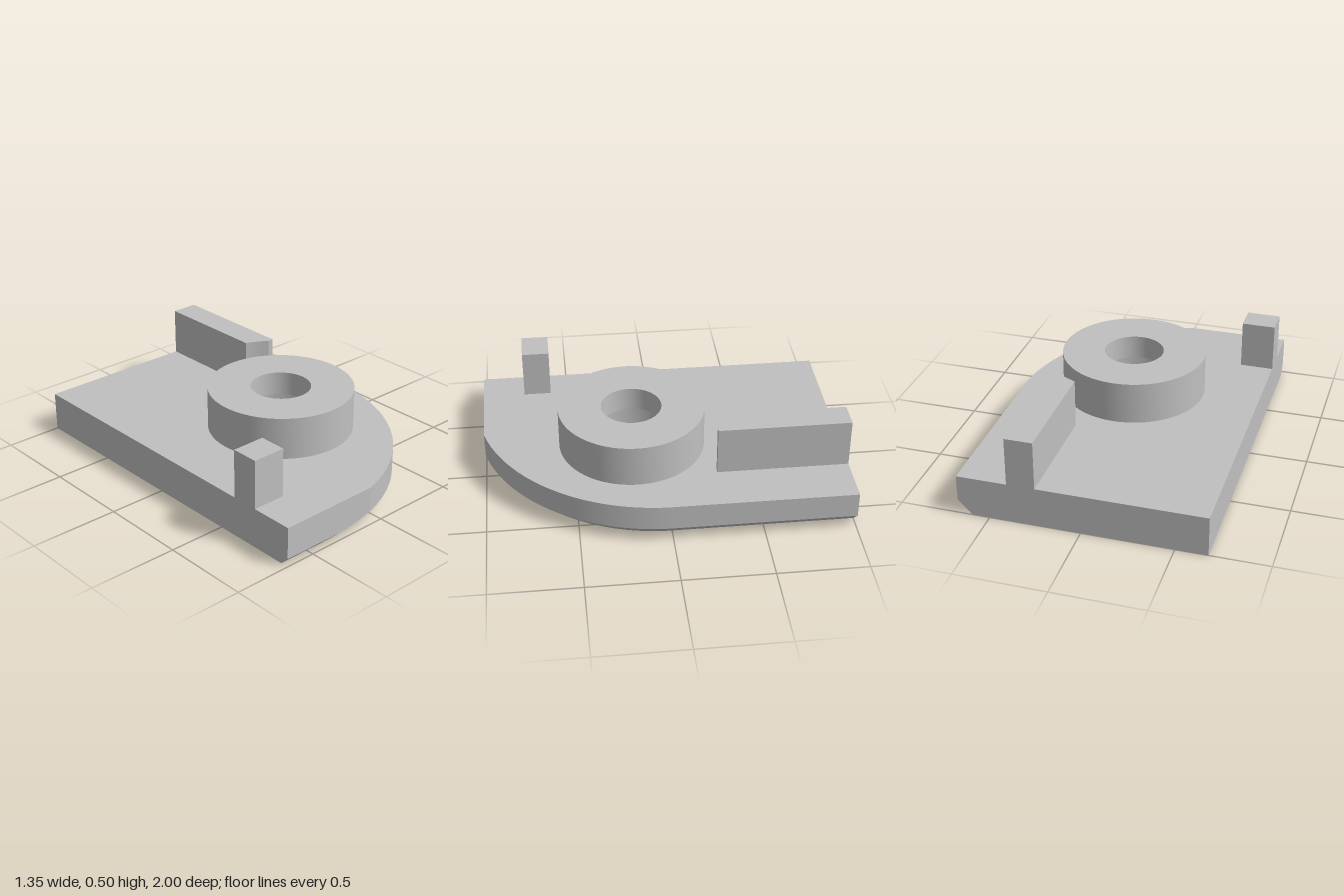
import * as THREE from 'three';
import { toCreasedNormals } from 'three/addons/utils/BufferGeometryUtils.js';

const SIDE = 0.675;                   // half width of the plate
const PLATE_TOP = 0.225, CHAMFER = 0.08;
const CORNER = { x: -0.36, r: 1.035 }; // big rounded corner, centred on z = 0
const BOSS = { x: 0.053, z: 0.169, r: 0.408, top: 0.465, hole: 0.168, bore: 0.3, boreTop: 0.33 };
const ARC = 64;

// Plate outline at height y: the side and rounded corner are chamfered, the front is cut at z = 1
function outline(y) {
  const inset = Math.max(0, CHAMFER - y);
  const r = CORNER.r - inset;
  const end = r > 1 ? Math.asin(1 / r) : Math.PI / 2;
  const ring = [[-SIDE, -1], [SIDE - inset, -1]];
  for (let i = 0; i <= ARC; i++) {
    const a = (end * i) / ARC;
    ring.push([CORNER.x + r * Math.cos(a), r * Math.sin(a)]);
  }
  ring.push([-SIDE, Math.min(1, r)]);
  return ring;
}

// Walls of the plate, lofted through outlines at several heights
function plateWalls() {
  const levels = [0];
  for (let i = 0; i <= 10; i++) levels.push(0.045 + (0.035 * i) / 10);
  levels.push(PLATE_TOP);
  const pos = [], index = [];
  const n = ARC + 4;
  levels.forEach((y) => outline(y).forEach(([x, z]) => pos.push(x, y, z)));
  for (let k = 0; k < levels.length - 1; k++) {
    for (let i = 0; i < n; i++) {
      const j = (i + 1) % n;
      const a = k * n + i, b = k * n + j, c = b + n, d = a + n;
      index.push(a, d, c, a, c, b);
    }
  }
  const g = new THREE.BufferGeometry();
  g.setAttribute('position', new THREE.Float32BufferAttribute(pos, 3));
  g.setIndex(index);
  return toCreasedNormals(g, 0.2);
}

// Flat face of the plate with the bore cut out; up is 1 for the top and -1 for the underside
function plateFace(y, up) {
  const shape = new THREE.Shape(outline(y).map(([x, z]) => new THREE.Vector2(x, -up * z)));
  const hole = new THREE.Path();
  hole.absarc(BOSS.x, -up * BOSS.z, BOSS.bore, 0, Math.PI * 2);
  shape.holes.push(hole);
  return new THREE.ShapeGeometry(shape, 48).rotateX((-up * Math.PI) / 2).translate(0, y, 0);
}

// Ring boss with its small hole and the wider bore below
function bossGeometry() {
  const profile = [
    [BOSS.r, PLATE_TOP], [BOSS.r, BOSS.top], [BOSS.hole, BOSS.top],
    [BOSS.hole, BOSS.boreTop], [BOSS.bore, BOSS.boreTop], [BOSS.bore, 0],
  ].map(([x, y]) => new THREE.Vector2(x, y));
  return toCreasedNormals(new THREE.LatheGeometry(profile, 96), 0.3);
}

// Long rib whose front end is hollowed to follow the boss
function ribGeometry() {
  const x0 = 0.243, x1 = 0.397, xa = 0.365, r = 0.539;
  const shape = new THREE.Shape();
  shape.moveTo(x0, 1);
  for (let i = 0; i <= 12; i++) {
    const x = x0 + ((xa - x0) * i) / 12;
    shape.lineTo(x, -BOSS.z + Math.sqrt(r * r - (x - BOSS.x) ** 2));
  }
  shape.lineTo(x1, 0.27);
  shape.lineTo(x1, 1);
  const g = new THREE.ExtrudeGeometry(shape, { depth: 0.5 - PLATE_TOP, bevelEnabled: false });
  g.rotateX(-Math.PI / 2).translate(0, PLATE_TOP, 0);
  return toCreasedNormals(g, 0.2);
}

export function createModel() {
  const grey = new THREE.MeshStandardMaterial({ color: 0xc0c0c0 });
  grey.name = 'grey';
  const model = new THREE.Group();
  model.name = 'mountingPlate';
  const add = (name, geometry, parent = model) => {
    const mesh = new THREE.Mesh(geometry, grey);
    mesh.name = name;
    parent.add(mesh);
    return mesh;
  };

  // Base plate
  const plate = new THREE.Group();
  plate.name = 'plate';
  model.add(plate);
  add('plateWalls', plateWalls(), plate);
  add('plateTop', plateFace(PLATE_TOP, 1), plate);
  add('plateUnderside', plateFace(0, -1), plate);

  // Parts standing on the plate
  add('boss', bossGeometry()).position.set(BOSS.x, 0, BOSS.z);
  add('rib', ribGeometry());
  add('post', new THREE.BoxGeometry(0.19, 0.275, 0.155)).position.set(-0.58, 0.3625, 0.6825);

  return model;
}
